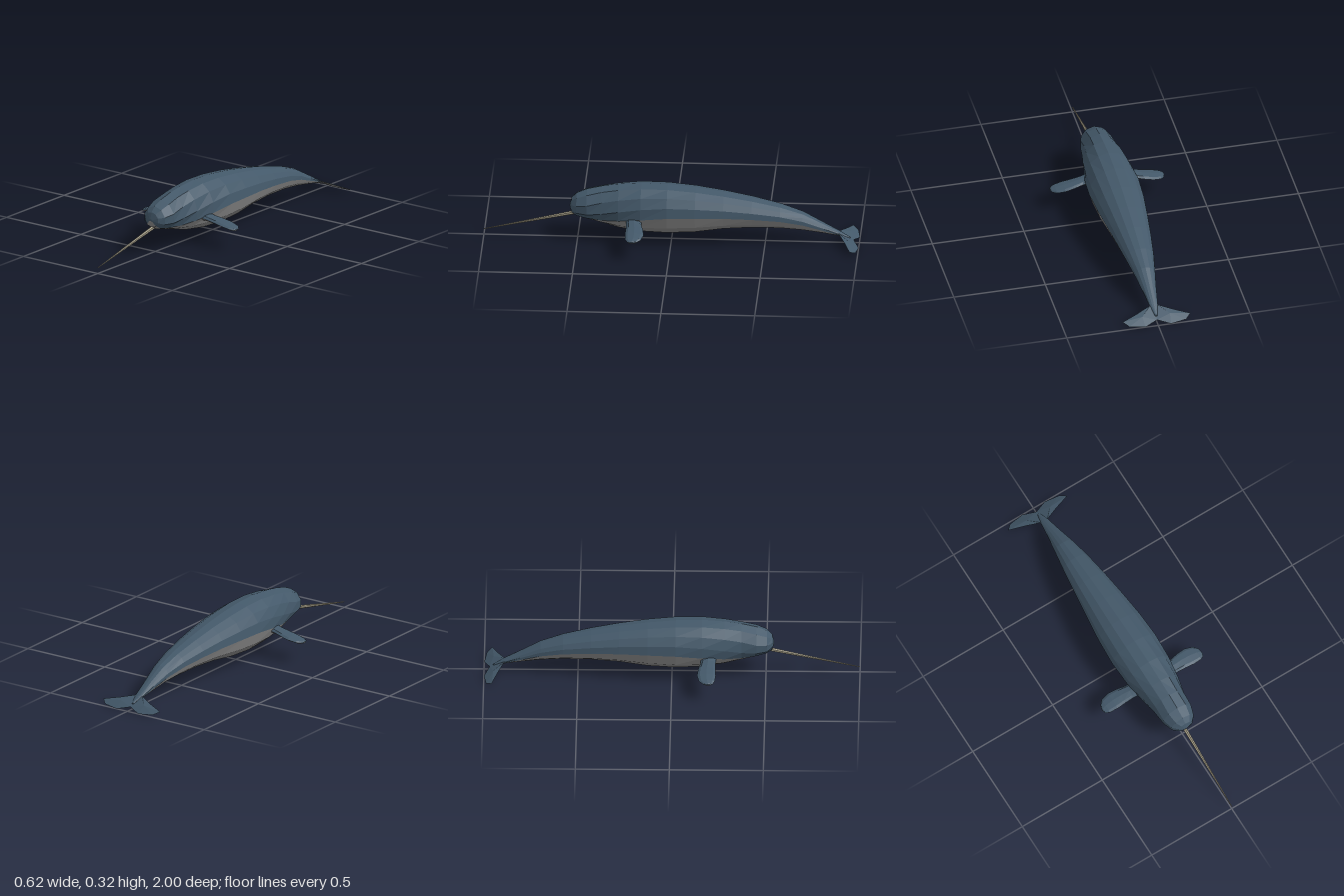
import * as THREE from 'three';

const skin = new THREE.MeshStandardMaterial({ name: 'slate blue skin', color: 0x435869 });
const belly = new THREE.MeshStandardMaterial({ name: 'grey belly', color: 0x868686 });
const ivory = new THREE.MeshStandardMaterial({ name: 'ivory tusk', color: 0xa39c86 });

// Faceted geometry from a list of triangles (each three [x, y, z] points)
function facets(tris) {
  const g = new THREE.BufferGeometry();
  g.setAttribute('position', new THREE.Float32BufferAttribute(tris.flat(2), 3));
  g.computeVertexNormals();
  return g;
}

// Joins points from..to of successive cross-sections into a surface
function loft(rings, from, to) {
  const tris = [];
  for (let r = 0; r + 1 < rings.length; r++) {
    for (let i = from; i < to; i++) {
      const a = rings[r][i], b = rings[r][i + 1];
      const d = rings[r + 1][i], c = rings[r + 1][i + 1];
      tris.push([a, d, c], [a, c, b]);
    }
  }
  return facets(tris);
}

function part(name, geometry, material) {
  const m = new THREE.Mesh(geometry, material);
  m.name = name;
  return m;
}

// z, top, bottom, half width, height of widest line, height of colour border
const BODY = [
  [0.542, 0.195, 0.175, 0.012, 0.185, 0.180],
  [0.532, 0.230, 0.148, 0.045, 0.185, 0.158],
  [0.505, 0.257, 0.132, 0.072, 0.185, 0.140],
  [0.450, 0.281, 0.119, 0.090, 0.185, 0.132],
  [0.370, 0.300, 0.097, 0.096, 0.182, 0.132],
  [0.280, 0.313, 0.073, 0.114, 0.180, 0.142],
  [0.160, 0.322, 0.055, 0.132, 0.180, 0.160],
  [0.020, 0.318, 0.050, 0.141, 0.180, 0.177],
  [-0.130, 0.303, 0.058, 0.133, 0.180, 0.178],
  [-0.280, 0.280, 0.080, 0.116, 0.178, 0.174],
  [-0.430, 0.251, 0.089, 0.097, 0.170, 0.163],
  [-0.580, 0.215, 0.087, 0.076, 0.152, 0.146],
  [-0.700, 0.174, 0.076, 0.055, 0.126, 0.119],
  [-0.800, 0.120, 0.061, 0.037, 0.091, 0.085],
  [-0.890, 0.071, 0.046, 0.023, 0.059, 0.055],
  [-0.950, 0.037, 0.027, 0.006, 0.032, 0.031],
];
const UP = 8, DOWN = 6;

function bodyRing([z, top, bottom, w, mid, border]) {
  const a0 = Math.asin((border - mid) / (mid - bottom));
  const ring = [];
  for (let i = 0; i <= UP + DOWN; i++) {
    const a = i <= UP
      ? a0 + (Math.PI - 2 * a0) * i / UP
      : Math.PI - a0 + (Math.PI + 2 * a0) * (i - UP) / DOWN;
    const s = Math.sin(a);
    ring.push([w * Math.cos(a), mid + s * (s > 0 ? top - mid : mid - bottom), z]);
  }
  return ring;
}

// x, y, z centre, half chord, half thickness
const FLIPPER = [
  [0.085, 0.148, 0.195, 0.046, 0.022],
  [0.140, 0.140, 0.194, 0.040, 0.015],
  [0.190, 0.132, 0.188, 0.046, 0.013],
  [0.240, 0.123, 0.186, 0.050, 0.012],
  [0.285, 0.114, 0.189, 0.042, 0.010],
  [0.305, 0.109, 0.194, 0.026, 0.008],
  [0.311, 0.108, 0.197, 0.010, 0.004],
  [0.311, 0.108, 0.197, 0, 0],
];

function flipper(side) {
  const rings = FLIPPER.map(([x, y, z, chord, thick]) =>
    Array.from({ length: 9 }, (_, i) => {
      const a = i * Math.PI / 4;
      return [side * x, y + thick * Math.sin(a), z + chord * Math.cos(a)];
    }));
  if (side < 0) rings.reverse();
  const g = new THREE.Group();
  g.name = side > 0 ? 'leftFlipper' : 'rightFlipper';
  g.add(part('flipperTop', loft(rings, 0, 4), skin), part('flipperUnderside', loft(rings, 4, 8), belly));
  return g;
}

// Half outline of the tail fluke as x, z; the blade slopes down to the rear
const FLUKE = [[0, -0.87], [0.025, -0.893], [0.1, -0.926], [0.185, -0.958],
  [0.155, -0.987], [0.07, -1], [0, -0.97]];

function flukeFace(side, up) {
  const point = ([x, z], lift = 0) => [side * x, 0.062 + (z + 0.89) * 0.53 + lift, z];
  const centre = point([0.075, -0.95], up * 0.007);
  const tris = [];
  for (let i = 0; i < FLUKE.length; i++) {
    const a = point(FLUKE[i]), b = point(FLUKE[(i + 1) % FLUKE.length]);
    tris.push(side * up > 0 ? [centre, a, b] : [centre, b, a]);
  }
  return facets(tris);
}

function fluke(side) {
  const g = new THREE.Group();
  g.name = side > 0 ? 'leftFluke' : 'rightFluke';
  g.add(part('flukeTop', flukeFace(side, 1), skin), part('flukeUnderside', flukeFace(side, -1), belly));
  return g;
}

export function createModel() {
  const model = new THREE.Group();
  model.name = 'tuskedWhale';

  // Body, with blunt snout closed by a collapsed first section
  const rings = BODY.map(bodyRing);
  rings.unshift(rings[0].map(() => [0, 0.185, 0.543]));
  rings.push(rings[0].map(() => [0, 0.032, -0.952]));
  model.add(part('back', loft(rings, 0, UP), skin), part('belly', loft(rings, UP, UP + DOWN), belly));

  // Long straight tusk
  const base = new THREE.Vector3(0, 0.149, 0.49), tip = new THREE.Vector3(0, 0.035, 1);
  const along = tip.clone().sub(base);
  const tuskGeometry = new THREE.CylinderGeometry(0.002, 0.0115, along.length(), 6).toNonIndexed();
  tuskGeometry.computeVertexNormals();
  const tusk = part('tusk', tuskGeometry, ivory);
  tusk.position.copy(base).lerp(tip, 0.5);
  tusk.quaternion.setFromUnitVectors(new THREE.Vector3(0, 1, 0), along.normalize());
  model.add(tusk);

  for (const side of [1, -1]) model.add(flipper(side), fluke(side));
  return model;
}
